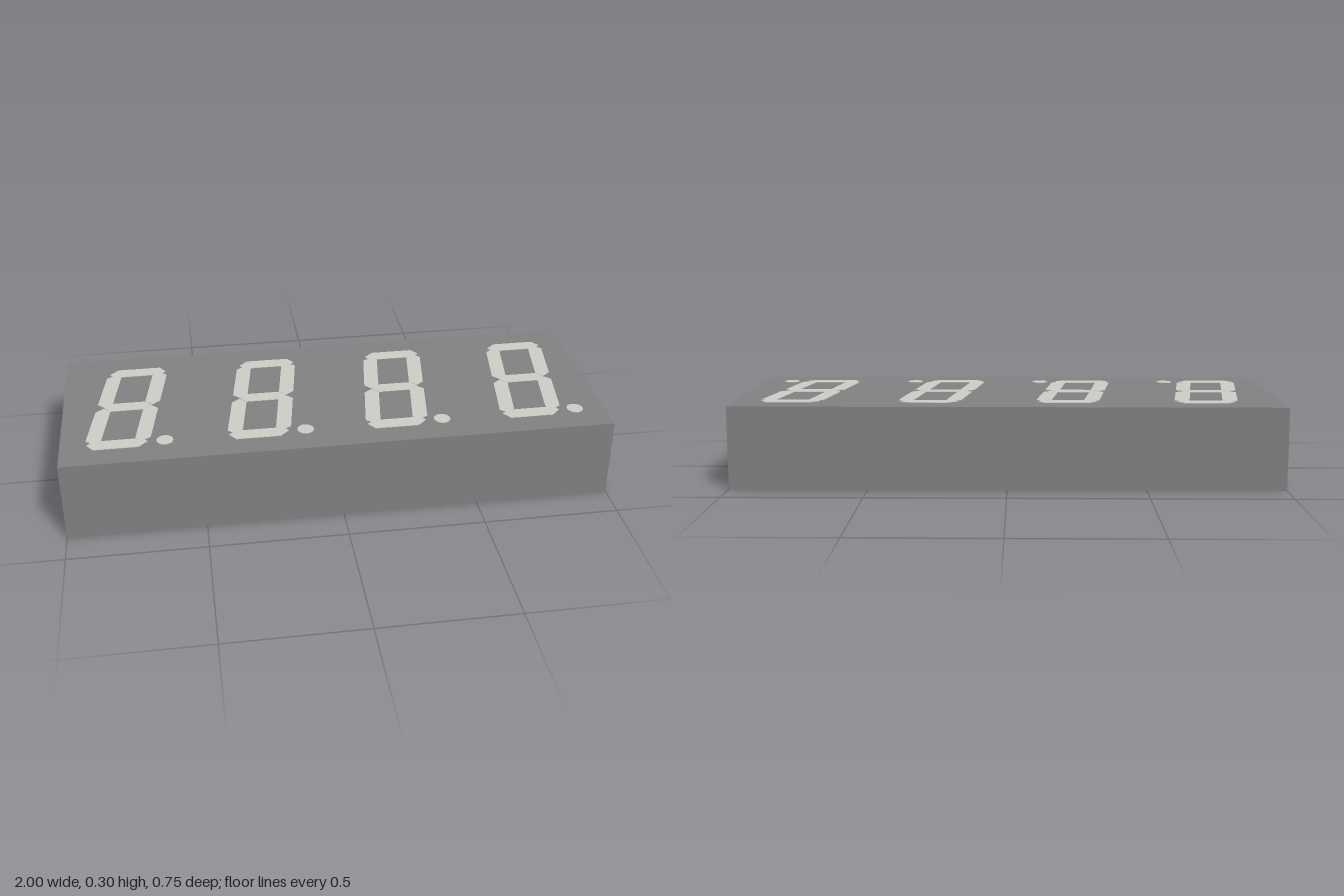
import * as THREE from 'three';

const bodyMaterial = new THREE.MeshStandardMaterial({ color: 0x808080, flatShading: true });
const segmentMaterial = new THREE.MeshStandardMaterial({ color: 0xcdcbc6, flatShading: true });

const TOP = 0.3, RAISE = 0.002, SLANT = 0.15;

// Thin plate lying on the top face; points are (x, up the digit), slanted like italics
function plate(name, points) {
  const shape = new THREE.Shape(points.map(([x, u]) => new THREE.Vector2(x + u * SLANT, u)));
  const geometry = new THREE.ExtrudeGeometry(shape, { depth: RAISE, bevelEnabled: false });
  geometry.rotateX(-Math.PI / 2);
  const mesh = new THREE.Mesh(geometry, segmentMaterial);
  mesh.name = name;
  mesh.position.y = TOP;
  return mesh;
}

function createDigit() {
  const digit = new THREE.Group();

  // Top and bottom bars, mirrored
  for (const s of [1, -1]) {
    digit.add(plate(s > 0 ? 'topSegment' : 'bottomSegment', [
      [-0.108, 0.25], [-0.086, 0.227], [0.086, 0.227],
      [0.108, 0.25], [0.08, 0.282], [-0.08, 0.282],
    ].map(([x, u]) => [x, u * s])));
  }

  // Middle bar with pointed ends
  digit.add(plate('middleSegment', [
    [-0.088, 0], [-0.062, -0.027], [0.062, -0.027],
    [0.088, 0], [0.062, 0.027], [-0.062, 0.027],
  ]));

  // Four upright bars, mirrored both ways
  for (const sx of [1, -1]) for (const su of [1, -1]) {
    digit.add(plate(`${su > 0 ? 'upper' : 'lower'}${sx > 0 ? 'Left' : 'Right'}Segment`, [
      [0.06, 0.03], [0.088, 0.003], [0.115, 0.027],
      [0.115, 0.222], [0.09, 0.24], [0.06, 0.222],
    ].map(([x, u]) => [x * sx, u * su])));
  }

  // Decimal point
  const dot = new THREE.Mesh(new THREE.CylinderGeometry(0.03, 0.03, RAISE, 24), segmentMaterial);
  dot.name = 'decimalPoint';
  dot.position.set(0.131, TOP + RAISE / 2, 0.25);
  digit.add(dot);
  return digit;
}

export function createModel() {
  const model = new THREE.Group();
  model.name = 'fourDigitDisplay';

  // Housing, tapering slightly towards the top
  const geometry = new THREE.BoxGeometry(2, TOP, 0.752);
  const p = geometry.attributes.position;
  for (let i = 0; i < p.count; i++) {
    if (p.getY(i) > 0) p.setXYZ(i, p.getX(i) * 0.998, p.getY(i), p.getZ(i) * 0.992);
  }
  geometry.computeVertexNormals();
  const housing = new THREE.Mesh(geometry, bodyMaterial);
  housing.name = 'housing';
  housing.position.y = TOP / 2;
  model.add(housing);

  // Row of four digits
  for (let i = 0; i < 4; i++) {
    const digit = createDigit();
    digit.name = `digit${i + 1}`;
    digit.position.x = -0.759 + i * 0.505;
    model.add(digit);
  }
  return model;
}
